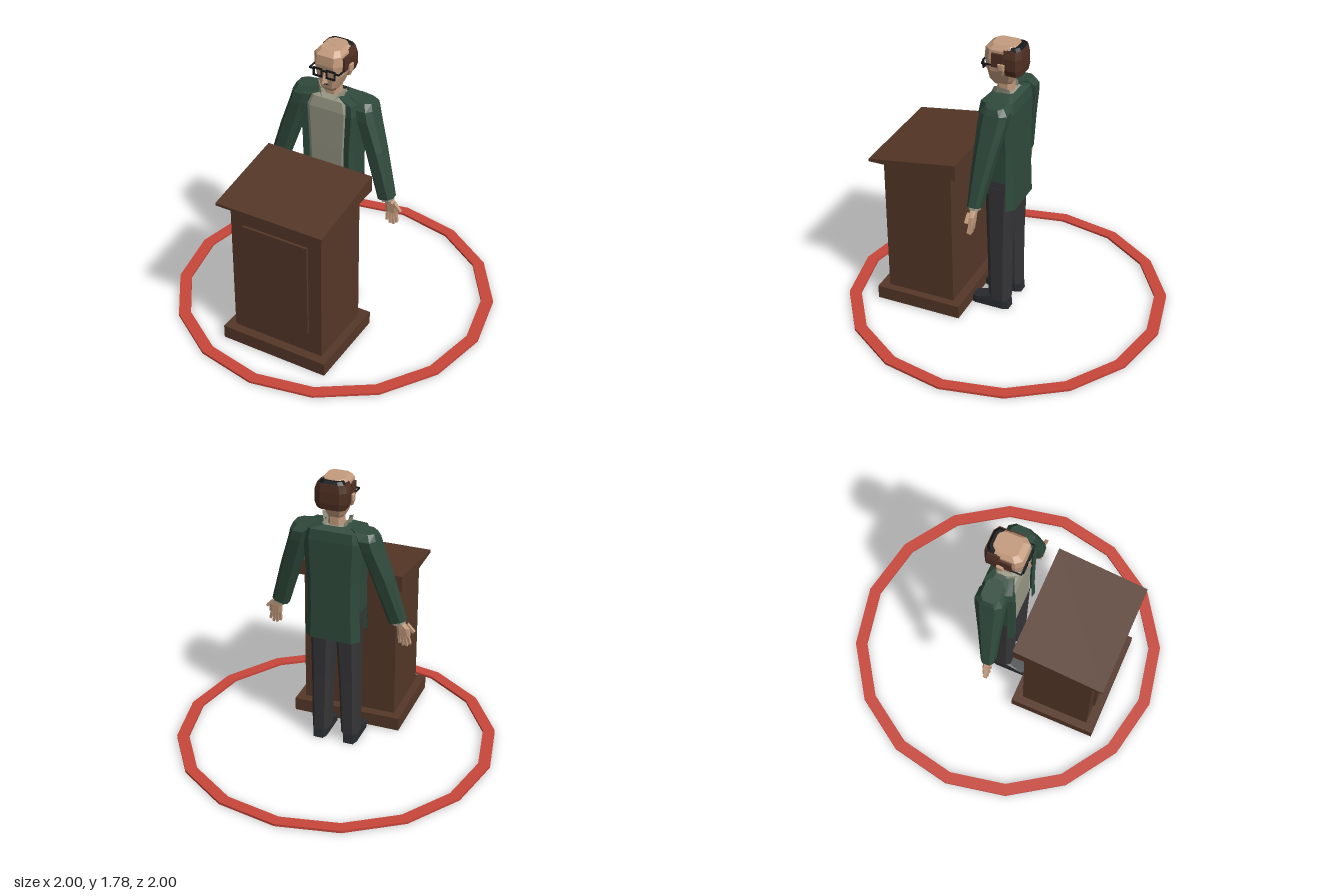
import * as THREE from 'three';

const mat = (name, color, extra = {}) => Object.assign(new THREE.MeshStandardMaterial({ color, ...extra }), { name });

export function createModel() {
  const wood = mat('brown wood', 0x553728);
  const red = mat('red', 0xc8463a);
  const green = mat('jacket green', 0x2f4a3c, { side: THREE.DoubleSide });
  const shirtGrey = mat('shirt grey', 0x979885, { side: THREE.DoubleSide });
  const charcoal = mat('trouser charcoal', 0x363638);
  const shoeGrey = mat('shoe dark grey', 0x2a2d31);
  const skin = mat('skin', 0xc49c7e);
  const brown = mat('hair brown', 0x4f3022);
  const black = mat('black', 0x15171a);
  const root = new THREE.Group();

  const add = (name, geo, material, parent = root) => {
    const m = new THREE.Mesh(geo, material);
    m.name = name;
    parent.add(m);
    return m;
  };
  const group = (name) => {
    const g = new THREE.Group();
    g.name = name;
    root.add(g);
    return g;
  };
  const box = (name, material, x, y, z, w, h, d, parent) => {
    const m = add(name, new THREE.BoxGeometry(w, h, d), material, parent);
    m.position.set(x, y, z);
    return m;
  };
  // Flat-faced surface over rows of points
  const surface = (rows, closed, caps) => {
    const pos = [];
    const tri = (...p) => p.forEach((v) => pos.push(...v));
    const n = rows[0].length;
    for (let r = 0; r + 1 < rows.length; r++) {
      for (let i = 0; i < (closed ? n : n - 1); i++) {
        const j = (i + 1) % n, a = rows[r], b = rows[r + 1];
        tri(a[i], a[j], b[j], a[i], b[j], b[i]);
      }
    }
    if (caps) {
      const top = rows[rows.length - 1], low = rows[0];
      for (let i = 1; i + 1 < n; i++) {
        tri(top[0], top[i], top[i + 1]);
        tri(low[0], low[i + 1], low[i]);
      }
    }
    const g = new THREE.BufferGeometry();
    g.setAttribute('position', new THREE.Float32BufferAttribute(pos, 3));
    g.computeVertexNormals();
    return g;
  };
  // Eight-sided loft, bottom to top: [y, centreX, centreZ, halfX, halfZ, tilt]
  const loft = (sections, k = 0.6) => {
    const ring = [[k, 1], [1, k], [1, -k], [k, -1], [-k, -1], [-1, -k], [-1, k], [-k, 1]];
    return surface(sections.map(([y, cx, cz, hx, hz, t = 0]) =>
      ring.map(([x, z]) => [cx + x * hx, y + t * x * hx, cz + z * hz])), true, true);
  };

  // Floor ring with sixteen sides
  const polygon = (r) => Array.from({ length: 16 }, (_, i) =>
    new THREE.Vector2(r * Math.cos(i * Math.PI / 8), r * Math.sin(i * Math.PI / 8)));
  const ringShape = new THREE.Shape(polygon(1));
  ringShape.holes.push(new THREE.Path(polygon(0.925)));
  const ringGeo = new THREE.ExtrudeGeometry(ringShape, { depth: 0.015, bevelEnabled: false });
  ringGeo.rotateX(-Math.PI / 2).translate(0, 0.006, 0);
  add('floorRing', ringGeo, red);

  // Lectern
  const lectern = group('lectern');
  box('lecternBase', wood, 0, 0.053, 0.455, 0.7, 0.086, 0.555, lectern);
  box('lecternBody', wood, 0, 0.55, 0.455, 0.6, 0.91, 0.44, lectern);
  box('lecternPanel', wood, 0, 0.555, 0.682, 0.43, 0.62, 0.018, lectern);
  const wedge = new THREE.Shape([[-0.75, 1.003], [-0.18, 1.003], [-0.18, 1.105], [-0.75, 1.02]]
    .map((p) => new THREE.Vector2(...p)));
  const wedgeGeo = new THREE.ExtrudeGeometry(wedge, { depth: 0.7, bevelEnabled: false });
  wedgeGeo.rotateY(Math.PI / 2).translate(-0.35, 0, 0);
  add('lecternTop', wedgeGeo, wood, lectern);

  // Trousers and shoes
  const lower = group('legs');
  add('hips', loft([[0.84, 0, 0.005, 0.15, 0.085], [0.99, 0, 0.005, 0.145, 0.085]], 0.7), charcoal, lower);
  for (const s of [1, -1]) {
    add('trouserLeg', loft([[0.065, s * 0.095, 0.008, 0.052, 0.064], [0.45, s * 0.088, 0.01, 0.06, 0.07],
      [0.88, s * 0.078, 0.007, 0.073, 0.085]]), charcoal, lower);
    add('shoe', loft([[0.004, s * 0.1, 0.068, 0.045, 0.13], [0.05, s * 0.1, 0.066, 0.046, 0.124],
      [0.082, s * 0.097, 0.008, 0.045, 0.062]], 0.7), shoeGrey, lower);
  }

  // Shirt
  const upper = group('torso');
  add('shirt', loft([[0.92, 0, 0.02, 0.115, 0.075], [1.15, 0, 0.02, 0.122, 0.077],
    [1.4, 0, 0.02, 0.135, 0.077], [1.465, 0, 0.015, 0.11, 0.068], [1.485, 0, 0.01, 0.05, 0.045]], 0.84), shirtGrey, upper);

  // Open jacket: half outline from front edge round to the back, then mirrored
  const half = [[0.122, 0.102], [0.16, 0.108], [0.176, 0.07], [0.176, -0.06], [0.13, -0.1]];
  const outline = [...half, ...half.map(([x, z]) => [-x, z]).reverse()];
  const row = (pts, [y, sx, sz]) => pts.map(([x, z]) => [x * sx, y, z * sz]);
  const levels = [[0.94, 0.96, 1], [1.15, 0.96, 1], [1.4, 1.05, 1], [1.465, 1.0, 0.9], [1.49, 0.42, 0.6]];
  const hem = [[0.75, 1, 1.04], levels[0]];
  add('jacketBody', surface(levels.map((l) => row(outline, l)), false, false), green, upper);
  const flap = (name, from, to) =>
    add(name, surface(hem.map((l) => row(outline.slice(from, to), l)), false, false), green, upper);
  flap('jacketFrontFlap', 0, 3);
  flap('jacketBackFlap', 3, 7);
  flap('jacketFrontFlap', 7, 10);

  for (const s of [1, -1]) {
    // Sleeve and cuff
    add('sleeve', loft([[0.885, s * 0.376, 0.04, 0.049, 0.04, -0.3 * -s], [1.18, s * 0.287, 0.012, 0.055, 0.065, 0.2 * s],
      [1.37, s * 0.224, -0.008, 0.058, 0.085], [1.435, s * 0.205, -0.015, 0.06, 0.085],
      [1.478, s * 0.178, -0.015, 0.072, 0.055, -0.1 * s]], 0.55), green, upper);
    add('shirtCuff', loft([[0.868, s * 0.385, 0.04, 0.034, 0.03, 0.3 * s], [0.9, s * 0.374, 0.04, 0.034, 0.03, 0.3 * s]]), shirtGrey, upper);
    // Collar wing, flaring outward
    add('collarWing', surface([
      [[s * 0.04, 1.465, 0.085], [s * 0.08, 1.475, 0.04], [s * 0.055, 1.475, -0.04]],
      [[s * 0.06, 1.515, 0.06], [s * 0.098, 1.54, 0.025], [s * 0.065, 1.51, -0.04]]], false, false), shirtGrey, upper);

    // Hand with four fingers and an outer thumb
    const hand = group(s > 0 ? 'leftHand' : 'rightHand');
    add('palm', loft([[0.795, s * 0.415, 0.042, 0.04, 0.015], [0.845, s * 0.41, 0.04, 0.038, 0.018],
      [0.885, s * 0.383, 0.04, 0.024, 0.02]]), skin, hand);
    for (let i = 0; i < 4; i++) {
      const len = [0.07, 0.085, 0.085, 0.068][i];
      const f = box('finger', skin, s * (0.386 + i * 0.0195), 0.805 - len / 2, 0.046, 0.015, len, 0.019, hand);
      f.rotation.set(-0.15, 0, s * (0.02 + i * 0.07));
    }
    const thumb = box('thumb', skin, s * 0.452, 0.842, 0.054, 0.018, 0.065, 0.02, hand);
    thumb.rotation.z = s * 0.75;
  }

  // Head
  const head = group('head');
  add('neck', loft([[1.45, 0, 0.008, 0.045, 0.045], [1.55, 0, 0.008, 0.042, 0.045]]), skin, head);
  add('skull', loft([[1.522, 0, 0.025, 0.038, 0.05], [1.55, 0, 0.025, 0.052, 0.073], [1.62, 0, 0.015, 0.078, 0.092],
    [1.7, 0, 0.012, 0.088, 0.106], [1.758, 0, 0.01, 0.084, 0.102], [1.785, 0, 0.005, 0.062, 0.072]], 0.65), skin, head);
  const nose = add('nose', surface([
    [[-0.018, 1.59, 0.09], [0, 1.595, 0.148], [0.018, 1.59, 0.09]],
    [[-0.012, 1.615, 0.09], [0, 1.62, 0.14], [0.012, 1.615, 0.09]],
    [[-0.007, 1.67, 0.09], [0, 1.67, 0.115], [0.007, 1.67, 0.09]]], true, true), skin, head);
  // Nose corners run left to right across the front
  nose.name = 'nose';
  box('mouth', black, 0, 1.572, 0.099, 0.03, 0.005, 0.006, head);

  // Hair round the back and sides, with a dark rim at the crown
  add('backHair', loft([[1.61, 0, -0.057, 0.086, 0.052], [1.65, 0, -0.055, 0.1, 0.06], [1.72, 0, -0.052, 0.1, 0.062],
    [1.765, 0, -0.05, 0.086, 0.058]], 0.6), brown, head);
  add('crownRim', loft([[1.764, 0, -0.058, 0.08, 0.046], [1.781, 0, -0.056, 0.062, 0.034]], 0.6), black, head);
  add('crownSkin', loft([[1.76, 0, -0.03, 0.058, 0.05], [1.786, 0, -0.03, 0.052, 0.042]], 0.6), skin, head);
  for (const s of [1, -1]) {
    box('sideHair', brown, s * 0.088, 1.7, 0.025, 0.022, 0.085, 0.07, head);
    add('ear', loft([[1.615, s * 0.093, 0.0, 0.009, 0.012], [1.65, s * 0.104, -0.002, 0.01, 0.022],
      [1.685, s * 0.106, -0.004, 0.009, 0.02]]), skin, head);
  }

  // Glasses
  const glasses = group('glasses');
  const rect = (C, w, h) => new C([[-w, -h], [w, -h], [w, h], [-w, h]].map((p) => new THREE.Vector2(...p)));
  for (const s of [1, -1]) {
    const frame = rect(THREE.Shape, 0.03, 0.028);
    frame.holes.push(rect(THREE.Path, 0.021, 0.019));
    add('glassesFrame', new THREE.ExtrudeGeometry(frame, { depth: 0.009, bevelEnabled: false }), black, glasses)
      .position.set(s * 0.042, 1.653, 0.118);
    box('glassesHinge', black, s * 0.082, 1.668, 0.121, 0.026, 0.009, 0.008, glasses);
    box('glassesTemple', black, s * 0.096, 1.668, 0.06, 0.006, 0.009, 0.126, glasses);
  }
  box('glassesBridge', black, 0, 1.668, 0.122, 0.03, 0.009, 0.009, glasses);

  return root;
}
